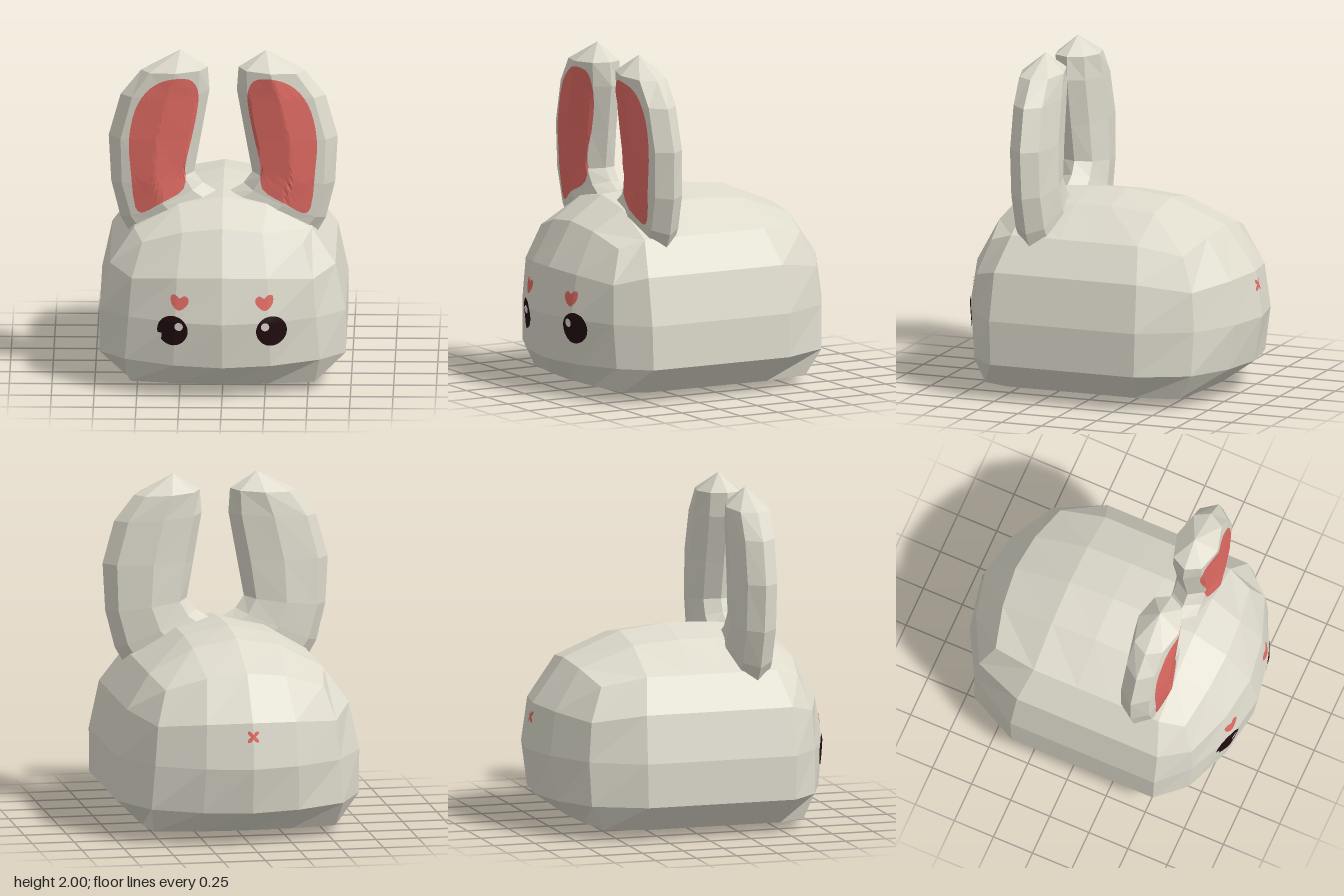
import * as THREE from 'three';

const material = (name, color) => {
  const m = new THREE.MeshStandardMaterial({ color, flatShading: true });
  m.name = name;
  return m;
};

// Collects faces (corner points, counter-clockwise) into a faceted geometry; mirror flips it across x
function facets(faces, mirror = false) {
  const out = [];
  for (const f of faces) {
    for (let k = 1; k < f.length - 1; k++) {
      const tri = mirror ? [f[0], f[k + 1], f[k]] : [f[0], f[k], f[k + 1]];
      for (const p of tri) out.push(mirror ? -p[0] : p[0], p[1], p[2]);
    }
  }
  const g = new THREE.BufferGeometry();
  g.setAttribute('position', new THREE.Float32BufferAttribute(out, 3));
  g.computeVertexNormals();
  return g;
}

// Side walls between stacked closed rings, bottom to top
function loftFaces(rings) {
  const faces = [];
  for (let r = 0; r < rings.length - 1; r++) {
    const a = rings[r], b = rings[r + 1], n = a.length;
    for (let k = 0; k < n; k++) {
      const q = (k + 1) % n;
      faces.push([a[k], a[q], b[q], b[k]]);
    }
  }
  return faces;
}

const lerp = THREE.MathUtils.lerp;

// Body: a rounded box on a grid, i = -2..2 across, j = 0..5 from front to back
const levels = [
  { y: 0.06, yc: 0.06, ys: 0.05, xc: 0.54, xs: 0.56, zf: 0.71, zfc: 0.64, zb: -0.64, zbc: -0.58 },
  { y: 0.20, yc: 0.21, ys: 0.21, xc: 0.57, xs: 0.72, zf: 0.86, zfc: 0.70, zb: -0.84, zbc: -0.67 },
  { y: 0.47, yc: 0.47, ys: 0.47, xc: 0.55, xs: 0.72, zf: 0.89, zfc: 0.71, zb: -0.89, zbc: -0.68 },
  { y: 0.74, yc: 0.70, ys: 0.75, xc: 0.53, xs: 0.66, zf: 0.84, zfc: 0.70, zb: -0.85, zbc: -0.66 },
  { y: 1.00, yc: 0.90, ys: 0.95, xc: 0.47, xs: 0.52, zf: 0.69, zfc: 0.63, zb: -0.66, zbc: -0.58 },
];
const depth = [0, 0.12, 0.37, 0.55, 0.78, 1];
const bulge = [0, 0.28, 1];

function bodyPoint(L, i, j, crown) {
  const a = Math.abs(i), end = j === 0 || j === 5;
  const x = (i / 2) * (end ? L.xc : L.xs);
  if (j === 0) return [x, lerp(L.y, L.yc, bulge[a]), lerp(L.zf, L.zfc, bulge[a])];
  if (end) return [x, lerp(L.y, L.yc, bulge[a]), lerp(L.zb, L.zbc, bulge[a])];
  const y = a === 2 ? L.ys : lerp(crown[j], L.ys, (a * a) / 4);
  return [x, y, lerp(L.zfc, L.zbc, depth[j])];
}

function bodyGeometry() {
  const rim = [];
  for (let i = -2; i <= 2; i++) rim.push([i, 0]);
  for (let j = 1; j <= 4; j++) rim.push([2, j]);
  for (let i = 2; i >= -2; i--) rim.push([i, 5]);
  for (let j = 4; j >= 1; j--) rim.push([-2, j]);
  const faces = loftFaces(levels.map(L => rim.map(([i, j]) => bodyPoint(L, i, j))));
  // Top and bottom caps
  const topCrown = [0, 1.14, 1.165, 1.17, 1.14, 0];
  const bottomCrown = [0, 0.02, 0, 0, 0.03, 0];
  for (let i = -2; i < 2; i++) {
    for (let j = 0; j < 5; j++) {
      const cell = [[i, j], [i + 1, j], [i + 1, j + 1], [i, j + 1]];
      faces.push(cell.map(([u, v]) => bodyPoint(levels[4], u, v, topCrown)));
      faces.push(cell.map(([u, v]) => bodyPoint(levels[0], u, v, bottomCrown)).reverse());
    }
  }
  return facets(faces);
}

// Ear: eight-sided sections between an inner and an outer edge [xi, yi, xo, yo, z]
function earFaces() {
  const rows = [
    [0.02, 1.13, 0.52, 0.84, 0.355],
    [0.12, 1.19, 0.60, 0.98, 0.36],
    [0.17, 1.26, 0.655, 1.20, 0.365],
    [0.13, 1.48, 0.67, 1.48, 0.37],
    [0.08, 1.76, 0.60, 1.73, 0.375],
    [0.09, 1.90, 0.48, 1.88, 0.38],
  ];
  const section = [[0, 0], [0.12, 0.09], [0.48, 0.13], [0.87, 0.09], [1, 0], [0.87, -0.09], [0.48, -0.13], [0.12, -0.09]];
  const rings = rows.map(([xi, yi, xo, yo, z]) =>
    section.map(([t, d]) => [lerp(xi, xo, t), lerp(yi, yo, t), z + d]));
  const faces = loftFaces(rings);
  const top = rings[rings.length - 1];
  top.forEach((p, k) => faces.push([p, top[(k + 1) % 8], [0.25, 2.0, 0.375]]));
  return faces;
}

// Thin painted patch: an outline filled with rings and laid onto a surface along z
function patchFaces(target, outline, lift, side = 1, steps = 8) {
  const n = outline.length;
  const cx = outline.reduce((s, p) => s + p[0], 0) / n;
  const cy = outline.reduce((s, p) => s + p[1], 0) / n;
  const ray = new THREE.Raycaster();
  const drop = (x, y) => {
    ray.set(new THREE.Vector3(x, y, 3 * side), new THREE.Vector3(0, 0, -side));
    const hit = ray.intersectObject(target)[0];
    return [x, y, (hit ? hit.point.z : 0) + lift * side];
  };
  const center = drop(cx, cy), rings = [];
  for (let r = 1; r <= steps; r++) {
    rings.push(outline.map(([x, y]) => drop(lerp(cx, x, r / steps), lerp(cy, y, r / steps))));
  }
  const faces = rings[0].map((p, k) => [center, p, rings[0][(k + 1) % n]]);
  for (let r = 0; r < steps - 1; r++) {
    for (let k = 0; k < n; k++) {
      const q = (k + 1) % n;
      faces.push([rings[r][k], rings[r + 1][k], rings[r + 1][q], rings[r][q]]);
    }
  }
  return side > 0 ? faces : faces.map(f => f.reverse());
}

// Closed outlines: polar shape and smooth curve through points (both counter-clockwise)
const polar = (cx, cy, radius, n = 28) => Array.from({ length: n }, (_, k) => {
  const a = (k / n) * Math.PI * 2, r = radius(a);
  return [cx + r * Math.cos(a), cy + r * Math.sin(a)];
});
const smooth = (pts, n) => new THREE.CatmullRomCurve3(
  pts.map(([x, y]) => new THREE.Vector3(x, y, 0)), true, 'centripetal').getPoints(n).slice(0, n).map(p => [p.x, p.y]);

export function createModel() {
  const model = new THREE.Group();
  model.name = 'bunny';
  const fur = material('fur', 0xdedbcd);
  const pink = material('pink', 0xe36c64);
  const dark = material('eyeDark', 0x220c10);
  const shine = material('eyeShine', 0xe8dcd8);

  const add = (name, faces, mat, mirror) => {
    const mesh = new THREE.Mesh(facets(faces, mirror), mat);
    mesh.name = name;
    model.add(mesh);
    return mesh;
  };
  const addPair = (name, faces, mat) => {
    const left = add('left' + name, faces, mat);
    add('right' + name, faces, mat, true);
    return left;
  };

  const body = new THREE.Mesh(bodyGeometry(), fur);
  body.name = 'body';
  model.add(body);

  // Ears with pink inner faces
  const ear = addPair('Ear', earFaces(), fur);
  const innerEar = smooth([
    [0.23, 1.18], [0.36, 1.10], [0.475, 1.035], [0.505, 1.05], [0.54, 1.30], [0.55, 1.48], [0.51, 1.67],
    [0.44, 1.78], [0.35, 1.84], [0.26, 1.86], [0.18, 1.84], [0.145, 1.77], [0.15, 1.66], [0.18, 1.50], [0.22, 1.32],
  ], 48);
  addPair('InnerEar', patchFaces(ear, innerEar, 0.006), pink);

  // Eyes, shines and heart-shaped brows
  addPair('Eye', patchFaces(body, polar(0.29, 0.42, () => 0.09), 0.005), dark);
  addPair('EyeShine', patchFaces(body, polar(0.253, 0.448, () => 0.025, 16), 0.009, 1, 3), shine);
  const heart = smooth([
    [0.25, 0.543], [0.285, 0.565], [0.30, 0.60], [0.295, 0.632], [0.27, 0.634],
    [0.247, 0.615], [0.22, 0.63], [0.197, 0.615], [0.20, 0.583],
  ], 27);
  addPair('Brow', patchFaces(body, heart, 0.005, 1, 4), pink);

  // Small four-lobed mark on the back
  const mark = polar(0, 0.66, a => 0.029 - 0.016 * Math.cos(4 * a), 32);
  add('tailMark', patchFaces(body, mark, 0.005, -1, 4), pink);

  return model;
}
